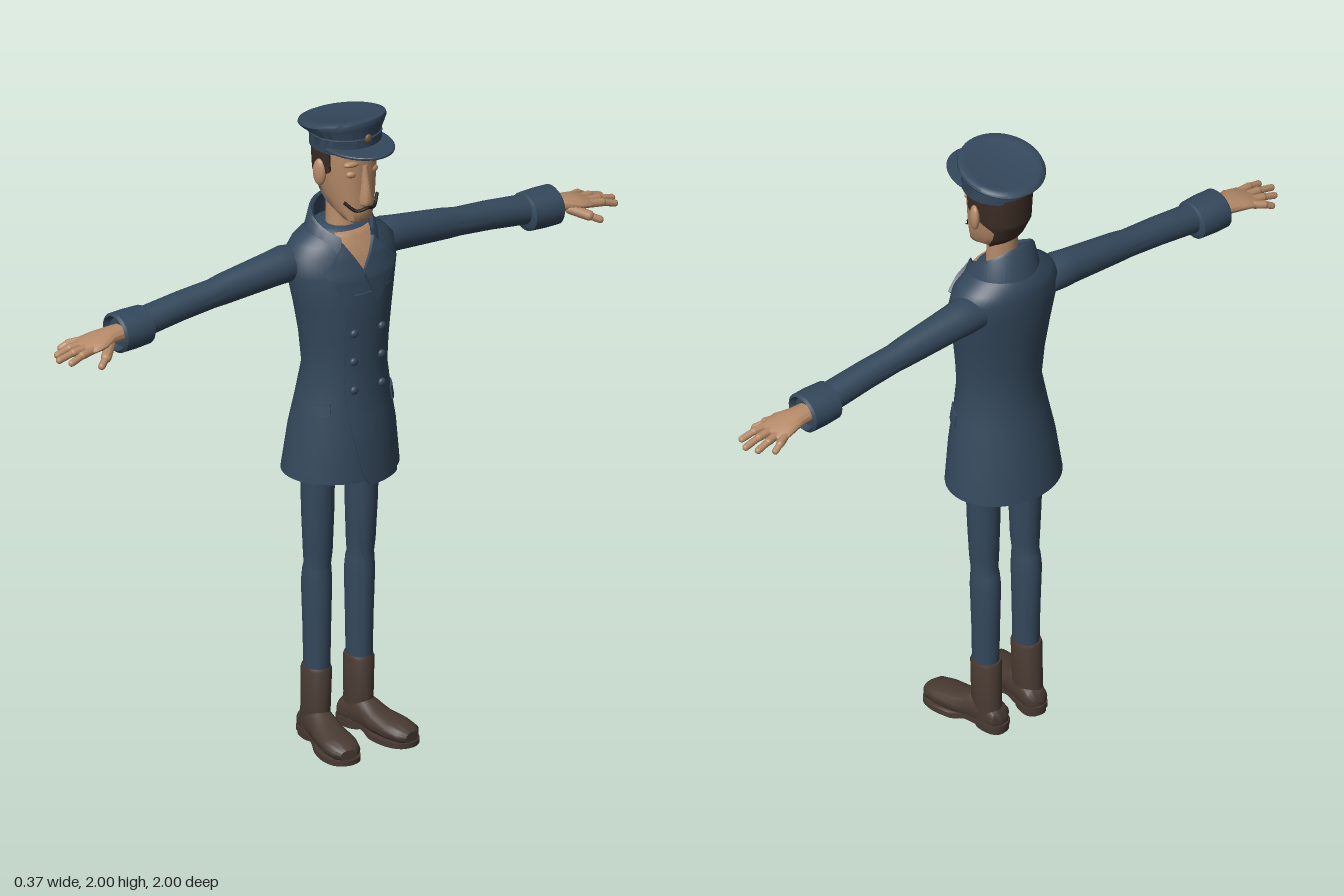
import * as THREE from 'three';
import { toCreasedNormals } from 'three/addons/utils/BufferGeometryUtils.js';

const mat = (name, color, side = THREE.FrontSide) => new THREE.MeshStandardMaterial({ name, color, side });
const navy = mat('navy cloth', 0x34485c, THREE.DoubleSide);
const skin = mat('skin', 0xb58a68, THREE.DoubleSide);
const hairBrown = mat('hair brown', 0x3b2c24, THREE.DoubleSide);
const leather = mat('boot leather', 0x483a32);
const dark = mat('moustache black', 0x1f1916);
const brass = mat('dull brass', 0x6b5738);

// Grid of quads from fn(i, j) -> [x, y, z], optionally closed around i and capped at both ends
function grid(nu, nv, fn, { caps = false, flip = false } = {}) {
  const pos = [], idx = [];
  for (let j = 0; j <= nv; j++) for (let i = 0; i <= nu; i++) pos.push(...fn(i, j));
  const w = nu + 1;
  const tri = (a, b, c) => idx.push(...(flip ? [a, c, b] : [a, b, c]));
  for (let j = 0; j < nv; j++) for (let i = 0; i < nu; i++) {
    const a = j * w + i, b = a + 1, c = a + w, d = c + 1;
    tri(a, c, b); tri(b, c, d);
  }
  if (caps) for (const j of [0, nv]) {
    const m = [0, 0, 0], k = pos.length / 3;
    for (let i = 0; i < nu; i++) for (let q = 0; q < 3; q++) m[q] += pos[(j * w + i) * 3 + q] / nu;
    pos.push(...m);
    for (let i = 0; i < nu; i++) j ? tri(k, j * w + i + 1, j * w + i) : tri(k, i, i + 1);
  }
  const g = new THREE.BufferGeometry();
  g.setAttribute('position', new THREE.Float32BufferAttribute(pos, 3));
  g.setIndex(idx);
  return toCreasedNormals(g, 0.75);
}

// Rings are [t, centre1, centre2, radius1, radius2, slope]
const se = (v, p) => Math.sign(v) * Math.abs(v) ** (2 / p);
function ringPoint([t, c1, c2, r1, r2, slope = 0], a, axis, p, off = 0) {
  const d = (r1 + off) * se(Math.cos(a), p), e = (r2 + off) * se(Math.sin(a), p);
  if (axis === 'x') return [t, c1 + d, c2 + e];
  if (axis === 'z') return [c1 + d, c2 + e, t];
  return [c1 + d, t + slope * d, c2 + e];
}
const loft = (rings, axis = 'y', p = 2, n = 28) => grid(n, rings.length - 1,
  (i, j) => ringPoint(rings[j], (i % n) / n * Math.PI * 2, axis, p), { caps: true, flip: axis !== 'y' });

// Interpolated ring at a height, for parts that lie on a lofted surface
function ringAt(rings, y) {
  let k = 0;
  while (k < rings.length - 2 && rings[k + 1][0] < y) k++;
  const f = THREE.MathUtils.clamp((y - rings[k][0]) / (rings[k + 1][0] - rings[k][0]), 0, 1);
  const r = rings[k].map((v, q) => v + (rings[k + 1][q] - v) * f);
  r[0] = y;
  return r;
}
// Raised patch on a surface; fn(u, v) -> [angle, y]; its border sinks into the surface
const patch = (rings, p, fn, off, n = 14) => grid(n + 2, n + 2, (i, j) => {
  const u = THREE.MathUtils.clamp((i - 1) / n, 0, 1), v = THREE.MathUtils.clamp((j - 1) / n, 0, 1);
  const edge = i === 0 || j === 0 || i === n + 2 || j === n + 2;
  const [a, y] = fn(u, v);
  return ringPoint(ringAt(rings, y), a, 'y', p, edge ? -0.003 : typeof off === 'function' ? off(u, v) : off);
});

function add(parent, name, geometry, material) {
  const m = new THREE.Mesh(geometry, material);
  m.name = name;
  parent.add(m);
  return m;
}
function ball(parent, name, material, [x, y, z], [rx, ry, rz]) {
  const m = add(parent, name, new THREE.SphereGeometry(1, 18, 12), material);
  m.position.set(x, y, z);
  m.scale.set(rx, ry, rz);
  return m;
}
function capsule(parent, name, material, a, b, r) {
  const A = new THREE.Vector3(...a), B = new THREE.Vector3(...b), d = B.clone().sub(A);
  const m = add(parent, name, new THREE.CapsuleGeometry(r, d.length(), 5, 10), material);
  m.position.copy(A).add(B).multiplyScalar(0.5);
  m.quaternion.setFromUnitVectors(new THREE.Vector3(0, 1, 0), d.normalize());
}

const coatRings = [
  [0.86, -0.035, 0, 0.155, 0.182], [1.0, -0.027, 0, 0.142, 0.165], [1.1, -0.022, 0, 0.125, 0.146],
  [1.2, -0.015, 0, 0.113, 0.13], [1.3, -0.017, 0, 0.117, 0.14], [1.4, -0.022, 0, 0.122, 0.157],
  [1.5, -0.03, 0, 0.122, 0.178], [1.56, -0.04, 0, 0.112, 0.178], [1.59, -0.045, 0, 0.102, 0.152],
  [1.62, -0.045, 0, 0.085, 0.105], [1.635, -0.045, 0, 0.065, 0.085]];
const headRings = [
  [1.665, 0.06, 0, 0.016, 0.026], [1.675, 0.052, 0, 0.034, 0.044], [1.7, 0.022, 0, 0.068, 0.057],
  [1.74, 0.005, 0, 0.085, 0.068], [1.8, -0.01, 0, 0.099, 0.078], [1.86, -0.01, 0, 0.1, 0.083],
  [1.91, -0.01, 0, 0.1, 0.084]];

function buildCoat(root) {
  const g = new THREE.Group(); g.name = 'coat'; root.add(g);
  const inner = [[1.0, -0.027, 0, 0.125, 0.148], [0.86, -0.035, 0, 0.143, 0.17]];
  add(g, 'coatBody', loft([...inner, ...coatRings], 'y', 2, 48), navy);

  // Patches on the chest, given by (z, y) corners
  const angle = (z, y) => Math.asin(THREE.MathUtils.clamp(z / ringAt(coatRings, y)[4], -1, 1));
  const quad = (bl, br, tl, tr) => (u, v) => {
    const at = k => (bl[k] * (1 - u) + br[k] * u) * (1 - v) + (tl[k] * (1 - u) + tr[k] * u) * v;
    return [angle(at(0), at(1)), at(1)];
  };
  add(g, 'openNeckSkin', patch(coatRings, 2, quad([-0.005, 1.515], [0.015, 1.515], [-0.06, 1.625], [0.06, 1.625]), 0.004), skin);
  add(g, 'rightLapel', patch(coatRings, 2, quad([0.005, 1.515], [0.065, 1.42], [0.05, 1.6], [0.12, 1.52]), 0.011), navy);
  add(g, 'leftLapel', patch(coatRings, 2, quad([-0.03, 1.42], [0.01, 1.515], [-0.12, 1.52], [-0.05, 1.6]), 0.013), navy);
  add(g, 'frontOverlap', patch(coatRings, 2, (u, v) => {
    const y = 0.848 + 0.6 * v;
    const edge = 0.01 + 0.06 * Math.min(1, v * 2.4) ** 0.6;
    return [angle(edge * u - 0.12 * (1 - u), y), y];
  }, u => 0.008 * u + 0.0005), navy);
  for (const s of [1, -1]) add(g, s > 0 ? 'rightPocketFlap' : 'leftPocketFlap',
    patch(coatRings, 2, (u, v) => [s * 1.08 + (u - 0.5) * 0.55, 1.07 + 0.04 * v], 0.006), navy);

  // Two columns of buttons
  for (const y of [1.33, 1.24, 1.15]) for (const z of [0.045, -0.05]) {
    const p = ringPoint(ringAt(coatRings, y), angle(z, y), 'y', 2, 0.008);
    ball(g, 'coatButton', navy, p, [0.009, 0.013, 0.013]);
  }

  // Standing collar, open at the front
  const n = 36, a0 = 0.62;
  add(g, 'collar', grid(n, 4, (i, j) => {
    const a = a0 + (Math.PI * 2 - 2 * a0) * i / n, c = Math.cos(a), s = Math.sin(a);
    const top = 1.66 - 0.052 * c, low = 1.58 - 0.012 * c;
    const thick = i === 0 || i === n ? 0.001 : 0.014;
    const [rx, rz, y] = [
      [0.11, 0.118, low], [0.09 + 0.014 * c, 0.1, top - 0.008], [0.083 + 0.016 * c, 0.093, top],
      [0.09 + 0.014 * c - thick, 0.1 - thick, top - 0.008], [0.1 - thick, 0.105 - thick, low]][j];
    return [-0.03 + rx * c, y, rz * s];
  }), navy);
}

function buildHead(root) {
  const g = new THREE.Group(); g.name = 'head'; root.add(g);
  add(g, 'neck', loft([[1.52, -0.01, 0, 0.06, 0.06], [1.62, -0.027, 0, 0.045, 0.048], [1.76, -0.03, 0, 0.042, 0.046]]), skin);
  add(g, 'face', loft(headRings, 'y', 2.3, 40), skin);
  add(g, 'nose', loft([[1.722, 0.088, 0, 0.012, 0.01], [1.73, 0.09, 0, 0.023, 0.019], [1.745, 0.09, 0, 0.027, 0.02],
    [1.78, 0.088, 0, 0.022, 0.014], [1.85, 0.086, 0, 0.009, 0.009]], 'y', 2, 16), skin);
  // Hair around the back, with a sideburn in front of each ear
  add(g, 'hair', patch(headRings, 2.3, (u, v) => {
    const y = 1.7 + 0.2 * v;
    const a = 2.25 - 1.0 * THREE.MathUtils.smoothstep(y, 1.77, 1.83);
    return [a + (Math.PI * 2 - 2 * a) * u, y];
  }, 0.006, 28), hairBrown);
  for (const s of [1, -1]) {
    const ear = ball(g, s > 0 ? 'rightEar' : 'leftEar', skin, [-0.012, 1.815, s * 0.09], [0.022, 0.042, 0.014]);
    ear.rotation.y = s * 0.35;
    ball(g, 'eyelid', skin, [0.074, 1.825, s * 0.036], [0.012, 0.012, 0.02]);
    ball(g, 'browRidge', skin, [0.076, 1.858, s * 0.036], [0.014, 0.01, 0.03]);
  }
  const path = new THREE.CatmullRomCurve3([[0.066, 1.738, -0.06], [0.09, 1.712, -0.032], [0.104, 1.72, 0],
    [0.09, 1.712, 0.032], [0.066, 1.738, 0.06]].map(p => new THREE.Vector3(...p)));
  add(g, 'moustache', new THREE.TubeGeometry(path, 28, 0.005, 8), dark);

  // Peaked cap with a tilted crown
  const cap = new THREE.Group(); cap.name = 'cap'; root.add(cap);
  add(cap, 'capCrown', loft([[1.89, -0.008, 0, 0.107, 0.105], [1.932, -0.008, 0, 0.109, 0.106, 0.04],
    [1.934, -0.008, 0, 0.104, 0.103, 0.04], [1.952, -0.023, 0, 0.125, 0.123, 0.14], [1.962, -0.025, 0, 0.131, 0.129, 0.18],
    [1.97, -0.025, 0, 0.128, 0.126, 0.19], [1.975, -0.025, 0, 0.115, 0.114, 0.19], [1.972, -0.025, 0, 0.1, 0.1, 0.19]], 'y', 2, 48), navy);
  const visor = new THREE.Shape();
  visor.absellipse(0.04, 0, 0.132, 0.098, -Math.PI / 2, Math.PI / 2);
  const brim = new THREE.ExtrudeGeometry(visor, { depth: 0.004, bevelThickness: 0.003, bevelSize: 0.005, bevelSegments: 2, curveSegments: 28 });
  brim.rotateX(-Math.PI / 2);
  add(cap, 'capVisor', brim, navy).position.y = 1.903;
  ball(cap, 'capBadge', brass, [0.106, 1.94, 0], [0.007, 0.014, 0.012]);
}

function buildArm() {
  const g = new THREE.Group();
  add(g, 'sleeve', loft([[0.13, -0.065, 1.525, 0.054, 0.05], [0.18, -0.065, 1.527, 0.058, 0.055], [0.22, -0.065, 1.523, 0.053, 0.053],
    [0.4, -0.065, 1.505, 0.043, 0.047], [0.44, -0.065, 1.5, 0.041, 0.043], [0.55, -0.065, 1.491, 0.043, 0.044],
    [0.7, -0.065, 1.473, 0.046, 0.045]], 'z'), navy);
  add(g, 'cuff', loft([[0.676, -0.065, 1.468, 0.046, 0.046], [0.684, -0.065, 1.467, 0.062, 0.058], [0.735, -0.065, 1.466, 0.066, 0.06],
    [0.782, -0.065, 1.465, 0.064, 0.06], [0.789, -0.065, 1.465, 0.055, 0.052], [0.77, -0.065, 1.465, 0.046, 0.044]], 'z'), navy);
  add(g, 'palm', loft([[0.76, -0.065, 1.463, 0.033, 0.026], [0.81, -0.065, 1.463, 0.038, 0.024], [0.85, -0.062, 1.459, 0.052, 0.021],
    [0.89, -0.066, 1.452, 0.055, 0.016], [0.908, -0.067, 1.449, 0.046, 0.009]], 'z'), skin);
  // Fingers as [knuckle x, middle x, tip x, tip z]
  for (const [x0, x1, x2, z] of [[-0.107, -0.12, -0.126, 0.935], [-0.082, -0.089, -0.092, 0.972],
    [-0.055, -0.056, -0.057, 0.99], [-0.03, -0.024, -0.019, 0.973]]) {
    const zm = (0.89 + z) / 2;
    capsule(g, 'fingerBase', skin, [x0, 1.452, 0.885], [x1, 1.447, zm], 0.0125);
    capsule(g, 'fingerTip', skin, [x1, 1.447, zm], [x2, 1.435, z], 0.0105);
  }
  capsule(g, 'thumbBase', skin, [-0.035, 1.45, 0.825], [0.002, 1.432, 0.865], 0.016);
  capsule(g, 'thumbTip', skin, [0.002, 1.432, 0.865], [0.019, 1.418, 0.893], 0.011);
  return g;
}

function buildLeg() {
  const g = new THREE.Group();
  add(g, 'trouserLeg', loft([[0.2, -0.045, 0.076, 0.043, 0.037], [0.35, -0.045, 0.076, 0.046, 0.039], [0.5, -0.045, 0.077, 0.05, 0.043],
    [0.545, -0.043, 0.077, 0.045, 0.041], [0.56, -0.041, 0.077, 0.042, 0.039], [0.6, -0.039, 0.077, 0.046, 0.042],
    [0.72, -0.038, 0.078, 0.052, 0.046], [0.98, -0.036, 0.08, 0.06, 0.05]]), navy);
  const boot = new THREE.Group(); boot.name = 'boot'; g.add(boot);
  add(boot, 'bootShaft', loft([[0.03, -0.052, 0.077, 0.056, 0.039], [0.1, -0.05, 0.077, 0.053, 0.039], [0.225, -0.047, 0.076, 0.051, 0.043],
    [0.235, -0.047, 0.076, 0.047, 0.04]]), leather);
  // Foot, sole and heel turned slightly outwards
  const foot = new THREE.Group(); foot.name = 'foot'; boot.add(foot);
  foot.position.set(-0.045, 0, 0.077);
  foot.rotation.y = -0.17;
  add(foot, 'bootFoot', loft([[-0.072, 0.035, 0, 0.015, 0.018], [-0.058, 0.045, 0, 0.035, 0.037], [0, 0.055, 0, 0.06, 0.041],
    [0.045, 0.05, 0, 0.05, 0.043], [0.085, 0.043, 0, 0.036, 0.05], [0.15, 0.038, 0, 0.03, 0.055],
    [0.195, 0.034, 0, 0.026, 0.046], [0.215, 0.03, 0, 0.016, 0.026]], 'x', 2.2), leather);
  const outline = [[-0.078, 0], [-0.062, 0.036], [0, 0.041], [0.05, 0.042], [0.1, 0.054], [0.16, 0.057], [0.205, 0.04], [0.222, 0]];
  const loop = [...outline, ...outline.slice(1, -1).reverse().map(([x, z]) => [x, -z])].map(p => new THREE.Vector2(...p));
  const solePoints = new THREE.CatmullRomCurve3(loop.map(p => new THREE.Vector3(p.x, p.y, 0)), true).getPoints(48);
  solePoints.pop();
  const sole = new THREE.ExtrudeGeometry(new THREE.Shape(solePoints.map(p => new THREE.Vector2(p.x, p.y))), { depth: 0.016, bevelEnabled: false });
  // Raise the arch between heel and ball
  const pos = sole.rotateX(-Math.PI / 2).attributes.position;
  for (let i = 0; i < pos.count; i++) {
    const x = pos.getX(i);
    pos.setY(i, pos.getY(i) + 0.014 * (1 - THREE.MathUtils.smoothstep(x, 0.04, 0.09)));
  }
  add(foot, 'bootSole', toCreasedNormals(sole, 0.75), leather);
  add(foot, 'bootHeel', loft([[0, -0.026, 0, 0.05, 0.038], [0.025, -0.026, 0, 0.051, 0.039]], 'y', 2.6), leather);
  return g;
}

export function createModel() {
  const root = new THREE.Group();
  root.name = 'uniformedMan';
  buildCoat(root);
  buildHead(root);
  for (const [part, build] of [['Arm', buildArm], ['Leg', buildLeg]]) for (const s of [1, -1]) {
    const g = build();
    g.name = (s > 0 ? 'right' : 'left') + part;
    g.scale.z = s;
    root.add(g);
  }
  return root;
}
